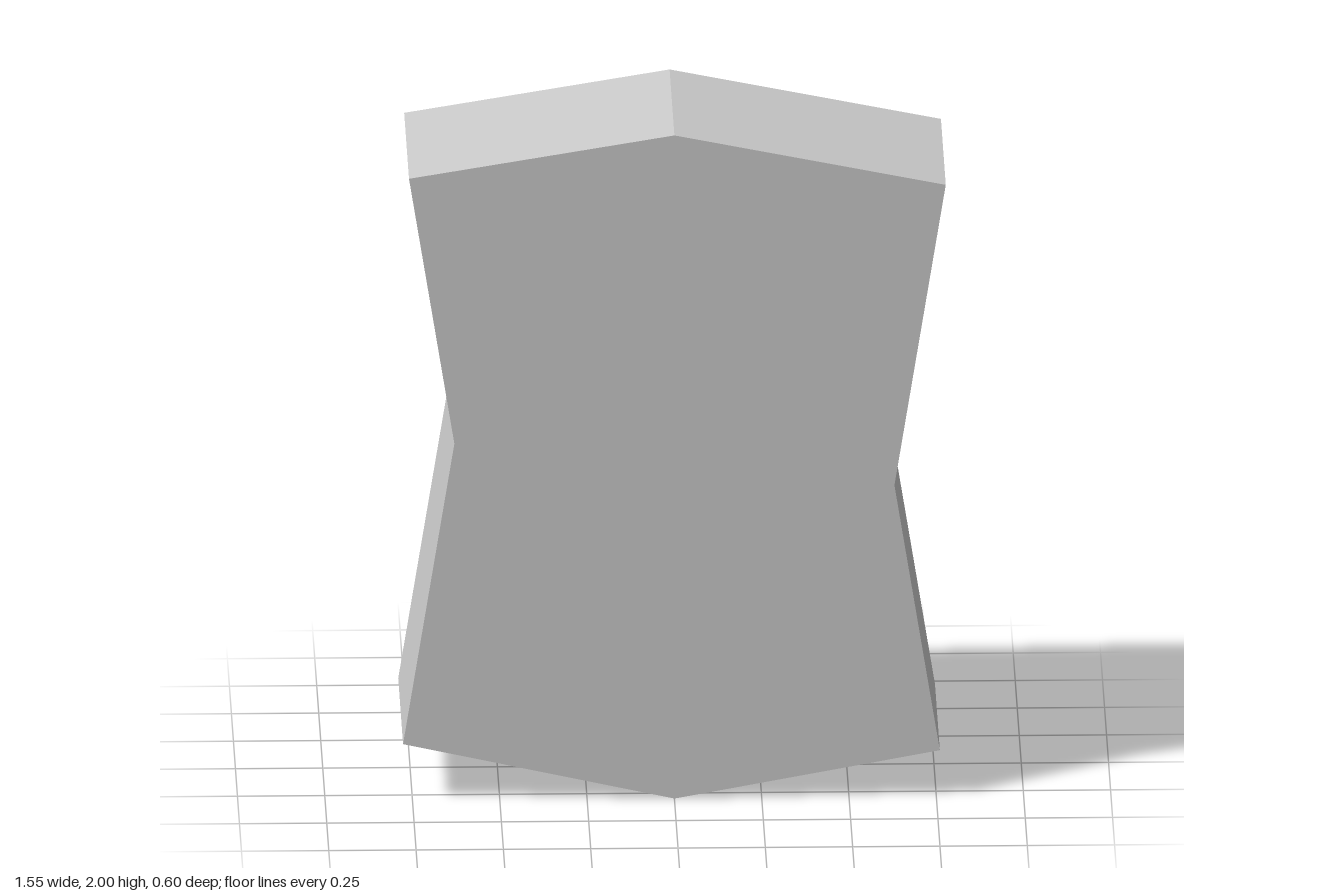
import * as THREE from 'three';

const DEPTH = 0.6;

// Waisted slab outline, counter-clockwise from the bottom point
const OUTLINE = [
  [0, 0], [0.76, 0.14], [0.63, 0.94], [0.777, 1.845],
  [0, 2], [-0.76, 1.875], [-0.63, 1.075], [-0.777, 0.17],
];

export function createModel() {
  const group = new THREE.Group();
  group.name = 'slab';

  const shape = new THREE.Shape(OUTLINE.map(([x, y]) => new THREE.Vector2(x, y)));
  const geometry = new THREE.ExtrudeGeometry(shape, { depth: DEPTH, bevelEnabled: false });
  geometry.translate(0, 0, -DEPTH / 2);

  const body = new THREE.Mesh(
    geometry,
    new THREE.MeshStandardMaterial({ color: 0xcccccc, flatShading: true }),
  );
  body.name = 'waistedBlock';
  group.add(body);
  return group;
}
